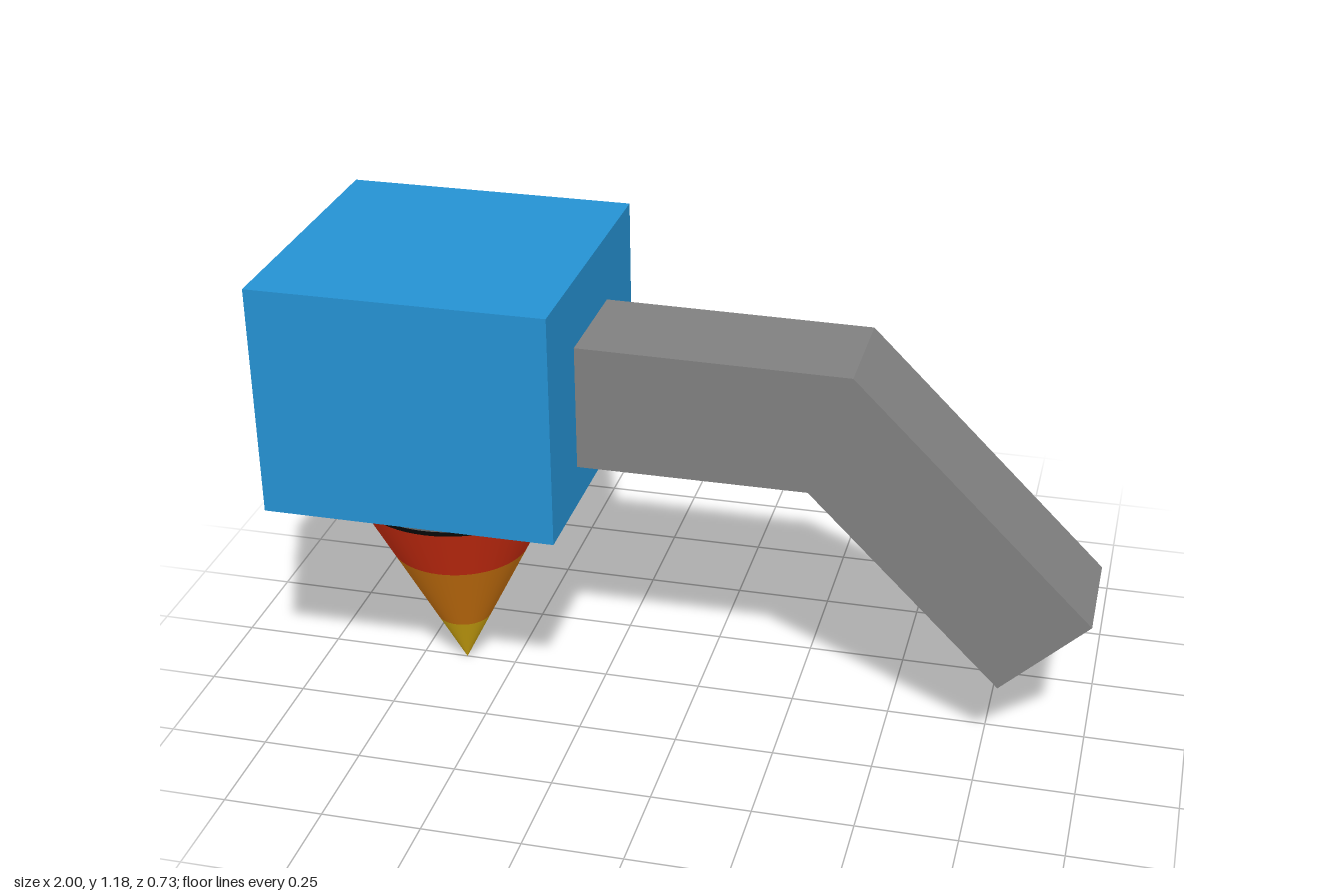
import * as THREE from 'three';

const paint = (name, color) => {
  const material = new THREE.MeshStandardMaterial({ color });
  material.name = name;
  return material;
};

export function createModel() {
  const blue = paint('blue', 0x2592d3);
  const grey = paint('grey', 0x808080);
  const black = paint('black', 0x0c0c0c);
  const red = paint('red', 0xdc3012);
  const orange = paint('orange', 0xd97b10);
  const yellow = paint('yellow', 0xdeb212);

  const model = new THREE.Group();
  model.name = 'nozzleOnArm';
  const add = (name, geometry, material) => {
    const mesh = new THREE.Mesh(geometry, material);
    mesh.name = name;
    model.add(mesh);
    return mesh;
  };

  // Square housing
  add('housing', new THREE.BoxGeometry(0.734, 0.586, 0.734), blue).position.set(-0.633, 0.887, 0);

  // Bent arm: side outline extruded across z
  const outline = new THREE.Shape([
    [-0.268, 0.695], [0.305, 0.695], [0.787, 0.213], [1, 0.416], [0.405, 1.007], [-0.268, 1.013],
  ].map(([x, y]) => new THREE.Vector2(x, y)));
  const arm = new THREE.ExtrudeGeometry(outline, { depth: 0.295, bevelEnabled: false });
  add('arm', arm.translate(0, 0, -0.14), grey);

  // Cone pointing down, divided into coloured bands
  const slope = 0.503;
  const bands = [
    ['coneTip', 0, 0.142, yellow],
    ['coneLowerBand', 0.142, 0.355, orange],
    ['coneUpperBand', 0.355, 0.512, red],
    ['coneBlackRing', 0.512, 0.529, black],
    ['coneGreyRing', 0.529, 0.547, grey],
    ['coneCollar', 0.547, 0.594, blue],
  ];
  for (const [name, y0, y1, material] of bands) {
    const profile = [new THREE.Vector2(y0 * slope, y0), new THREE.Vector2(y1 * slope, y1)];
    add(name, new THREE.LatheGeometry(profile, 64), material).position.x = -0.633;
  }

  return model;
}
